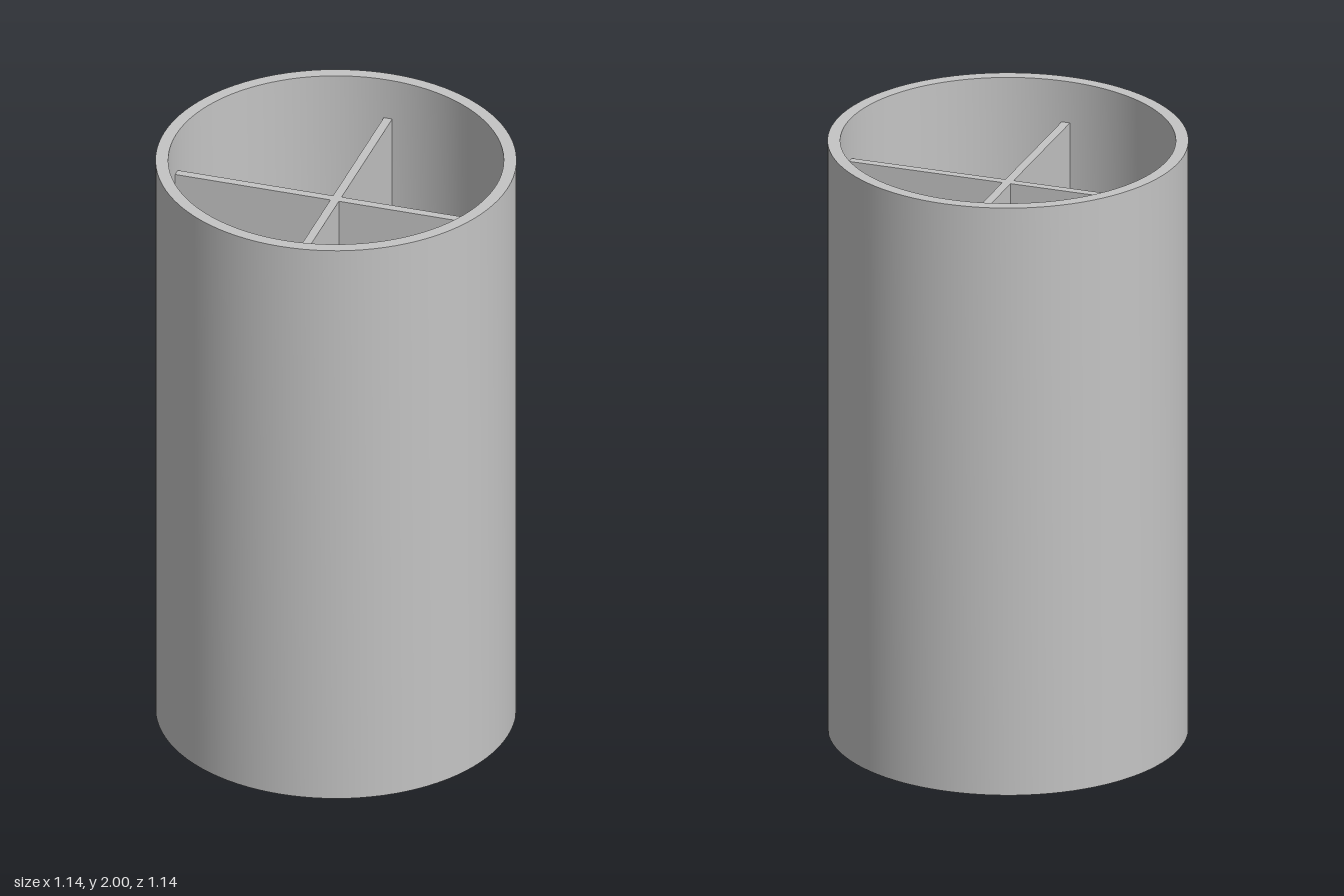
import * as THREE from 'three';
import { toCreasedNormals } from 'three/addons/utils/BufferGeometryUtils.js';

const OUTER = 0.57, INNER = 0.53, THREAD_ROOT = 0.506, THREAD_CREST = 0.475;
const FLOOR = 1.0, DIVIDER_TOP = 1.86, DIVIDER_HALF = 0.014;

// Helical ridge running around the inside of the lower opening
function threadGeometry(yStart, pitch, turns) {
  const positions = [], indices = [];
  const steps = Math.round(turns * 72);
  const section = [[0, 0.02], [1, 0.008], [1, -0.008], [0, -0.02]];
  const n = section.length;
  for (let i = 0; i <= steps; i++) {
    const u = i / steps, angle = u * turns * Math.PI * 2;
    const fade = Math.min(1, u * 16, (1 - u) * 16);
    const y = yStart + pitch * turns * u;
    for (const [depth, dy] of section) {
      const r = THREAD_ROOT + (THREAD_CREST - THREAD_ROOT) * depth * fade;
      positions.push(r * Math.sin(angle), y + dy, r * Math.cos(angle));
    }
  }
  for (let i = 0; i < steps; i++) {
    for (let j = 0; j < n - 1; j++) {
      const a = i * n + j, b = a + n;
      indices.push(a, b, a + 1, b + 1, a + 1, b);
    }
  }
  const geometry = new THREE.BufferGeometry();
  geometry.setAttribute('position', new THREE.Float32BufferAttribute(positions, 3));
  geometry.setIndex(indices);
  return toCreasedNormals(geometry, 0.5);
}

export function createModel() {
  const group = new THREE.Group();
  group.name = 'dividedContainer';
  const grey = new THREE.MeshStandardMaterial({ color: 0xc4c4c4 });
  grey.name = 'plainGrey';

  const add = (name, geometry) => {
    const mesh = new THREE.Mesh(geometry, grey);
    mesh.name = name;
    group.add(mesh);
  };

  // Tube with an upper cup, a middle floor, a lower bore and a wider threaded mouth
  const profile = [
    [0, FLOOR - 0.04], [0.46, FLOOR - 0.04], [0.46, 0.21], [THREAD_ROOT, 0.21],
    [THREAD_ROOT, 0], [OUTER, 0], [OUTER, 2], [INNER, 2], [INNER, FLOOR], [0, FLOOR],
  ].map(([r, y]) => new THREE.Vector2(r, y));
  add('tubeBody', toCreasedNormals(new THREE.LatheGeometry(profile, 96), 0.5));

  // Cross-shaped divider, its ends set slightly into the wall
  const h = DIVIDER_HALF, e = INNER + 0.005;
  const cross = new THREE.Shape([
    [h, h], [h, e], [-h, e], [-h, h], [-e, h], [-e, -h],
    [-h, -h], [-h, -e], [h, -e], [h, -h], [e, -h], [e, h],
  ].map(([x, y]) => new THREE.Vector2(x, y)));
  const divider = new THREE.ExtrudeGeometry(cross, { depth: DIVIDER_TOP - FLOOR, bevelEnabled: false });
  divider.rotateX(-Math.PI / 2).translate(0, FLOOR, 0);
  add('crossDivider', divider);

  add('innerThread', threadGeometry(0.035, 0.052, 2.6));
  return group;
}
